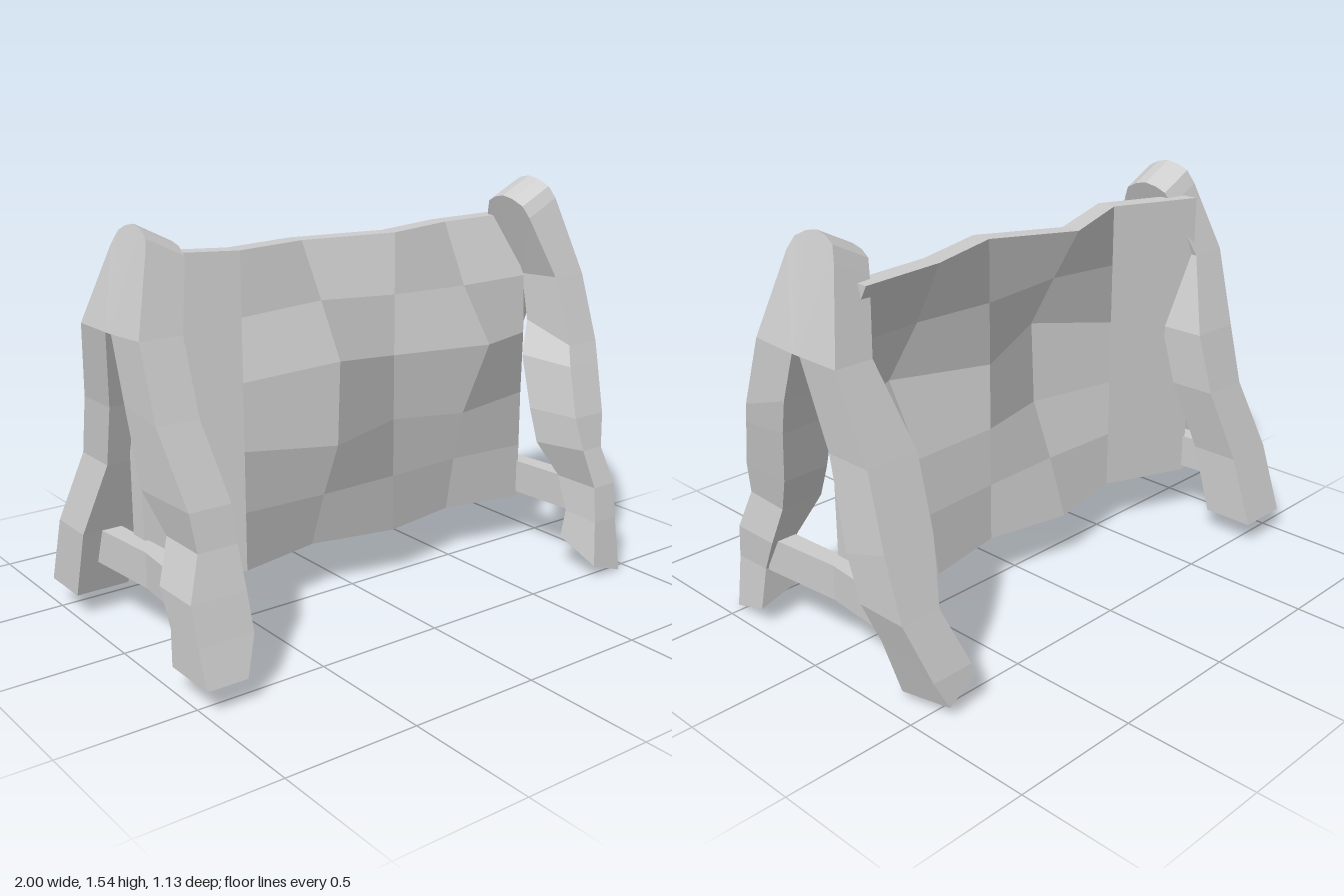
import * as THREE from 'three';

const material = new THREE.MeshStandardMaterial({ color: 0xcccccc, side: THREE.DoubleSide });

// Geometry from four-cornered faces, each shaded flat as one facet
function facets(quads) {
  const pos = [], nor = [];
  const p = new THREE.Vector3(), q = new THREE.Vector3();
  for (const [a, b, c, d] of quads) {
    p.set(c[0] - a[0], c[1] - a[1], c[2] - a[2]);
    q.set(d[0] - b[0], d[1] - b[1], d[2] - b[2]);
    p.cross(q).normalize();
    for (const v of [a, b, c, a, c, d]) {
      pos.push(...v);
      nor.push(p.x, p.y, p.z);
    }
  }
  const g = new THREE.BufferGeometry();
  g.setAttribute('position', new THREE.Float32BufferAttribute(pos, 3));
  g.setAttribute('normal', new THREE.Float32BufferAttribute(nor, 3));
  return g;
}

// Skin a list of four-cornered sections, closing both ends
function loft(sections, flip) {
  const last = sections[sections.length - 1];
  const quads = [sections[0], [...last].reverse()];
  for (let i = 0; i < sections.length - 1; i++) {
    const s = sections[i], t = sections[i + 1];
    for (let j = 0; j < 4; j++) {
      const k = (j + 1) % 4;
      quads.push([s[j], t[j], t[k], s[k]]);
    }
  }
  return facets(flip ? quads.map(q => [...q].reverse()) : quads);
}

function addMesh(parent, geometry, name) {
  const mesh = new THREE.Mesh(geometry, material);
  mesh.name = name;
  parent.add(mesh);
}

// Leg rows, foot to shoulder: [outer z, outer y, inner z, inner y, outside x, inside x,
// then optionally outside x and inside x of the inner edge, and the rise of the inside corners]
const leftLegFront = [
  [0.535, 0.0, 0.345, 0.07, 0.945, 0.80, 0.97, 0.80, 0.05],
  [0.505, 0.22, 0.345, 0.225, 0.94, 0.825],
  [0.48, 0.355, 0.28, 0.355, 0.95, 0.84],
  [0.43, 0.50, 0.23, 0.50, 0.92, 0.82, 0.93, 0.76],
  [0.40, 0.63, 0.18, 0.63, 0.95, 0.80, 0.95, 0.765],
  [0.33, 0.82, 0.12, 0.84, 0.985, 0.83, 0.985, 0.77],
  [0.30, 0.90, 0.08, 0.97, 1.0, 0.85, 1.0, 0.83],
  [0.21, 1.16, 0.02, 1.15, 1.0, 0.85],
];
const leftLegBack = [
  [0.565, 0.04, 0.37, 0.03, 0.885, 0.77, 0.92, 0.80, 0.07],
  [0.55, 0.15, 0.32, 0.22, 0.94, 0.77, 0.96, 0.83],
  [0.475, 0.355, 0.27, 0.355, 1.0, 0.84],
  [0.40, 0.58, 0.21, 0.52, 1.0, 0.79],
  [0.31, 0.84, 0.12, 0.84, 0.98, 0.77],
  [0.20, 1.15, 0.02, 1.15, 1.0, 0.85],
];
const rightLegFront = [
  [0.565, 0.09, 0.345, 0.09, 1.0, 0.845, 1.0, 0.79],
  [0.52, 0.22, 0.345, 0.225, 1.0, 0.79],
  [0.48, 0.355, 0.28, 0.355, 1.0, 0.79],
  [0.43, 0.50, 0.23, 0.50, 0.94, 0.79],
  [0.40, 0.63, 0.18, 0.66, 0.95, 0.79, 1.0, 0.79],
  [0.30, 0.90, 0.09, 0.93, 1.0, 0.84],
  [0.21, 1.16, 0.02, 1.15, 1.0, 0.84],
];
const rightLegBack = [
  [0.565, 0.09, 0.36, 0.09, 1.0, 0.79],
  [0.475, 0.355, 0.28, 0.355, 1.0, 0.79],
  [0.38, 0.63, 0.19, 0.63, 0.935, 0.74],
  [0.31, 0.86, 0.12, 0.86, 0.95, 0.74],
  [0.20, 1.15, 0.02, 1.15, 1.0, 0.84],
];
// Rounded top of a frame: [z, y]
const arc = [[0.125, 1.46], [0.1, 1.505], [0.05, 1.53], [0, 1.54], [-0.05, 1.53], [-0.09, 1.51], [-0.115, 1.46]];

function buildFrame(side, front, back, drop, name) {
  const frame = new THREE.Group();
  frame.name = name;
  const section = (dir, [zo, yo, zi, yi, xo, xi, xo2 = xo, xi2 = xi, rise = 0]) => [
    [side * xo, yo, dir * zo], [side * xi, yo + rise, dir * zo],
    [side * xi2, yi + rise, dir * zi], [side * xo2, yi, dir * zi],
  ];
  const sections = front.map(r => section(1, r));
  // Tilted cap, its underside held at the peak of the opening
  for (const [z, y] of arc) {
    const top = y - drop, xo = 0.89 + (1.54 - y) * 0.35;
    sections.push([
      [side * xo, top, z], [side * (xo - 0.14), top - 0.07, z],
      [side * 0.85, 1.15, z * 0.15], [side * 1.0, 1.15, z * 0.15],
    ]);
  }
  sections.push(...[...back].reverse().map(r => section(-1, r)));
  addMesh(frame, loft(sections, side < 0), 'bentLegs');

  // Brace between the two legs
  const bar = [[0.34, 0.85, 0.93], [0, 0.83, 0.9], [-0.34, 0.85, 0.93]].map(([z, xi, xo]) => [
    [side * xo, 0.22, z], [side * xi, 0.22, z], [side * xi, 0.355, z], [side * xo, 0.355, z],
  ]);
  addMesh(frame, loft(bar, side > 0), 'crossbar');
  return frame;
}

// Warped board: depth at each grid point, rows from the top down
function buildPanel() {
  const xs = [-0.85, -0.51, -0.17, 0.17, 0.5, 0.84];
  const ys = [1.38, 1.145, 0.91, 0.655, 0.425, 0.2];
  const depth = [
    [-0.14, 0, -0.12, 0, -0.1, -0.13],
    [-0.14, 0, 0.0, 0, 0.02, 0.0],
    [-0.14, 0, 0.115, 0, 0.12, 0.01],
    [-0.14, 0, 0.1, 0, 0.03, 0.005],
    [-0.14, 0, 0.01, 0, -0.02, 0.005],
    [-0.14, 0, -0.07, 0, -0.06, 0.005],
  ];
  // Small sideways and upward shifts of the bulging points
  const lift = { '0,2': -0.012, '1,2': 0.02, '2,2': 0.05, '2,4': 0.01, '3,2': -0.015, '3,4': -0.025 };
  const at = (r, c, half) => [
    xs[c] + (r === 2 && c === 4 ? 0.05 : 0), ys[r] + (lift[`${r},${c}`] ?? 0), depth[r][c] + half,
  ];
  const t = 0.04, quads = [];
  for (let i = 0; i < 5; i++) {
    for (let j = 0; j < 5; j++) {
      quads.push([at(i, j, t), at(i + 1, j, t), at(i + 1, j + 1, t), at(i, j + 1, t)]);
      quads.push([at(i, j, -t), at(i, j + 1, -t), at(i + 1, j + 1, -t), at(i + 1, j, -t)]);
    }
    // Rim
    quads.push([at(0, i, t), at(0, i + 1, t), at(0, i + 1, -t), at(0, i, -t)]);
    quads.push([at(5, i, t), at(5, i, -t), at(5, i + 1, -t), at(5, i + 1, t)]);
    quads.push([at(i, 0, t), at(i, 0, -t), at(i + 1, 0, -t), at(i + 1, 0, t)]);
    quads.push([at(i, 5, t), at(i + 1, 5, t), at(i + 1, 5, -t), at(i, 5, -t)]);
  }
  return facets(quads);
}

export function createModel() {
  const model = new THREE.Group();
  model.name = 'barricade';
  addMesh(model, buildPanel(), 'panel');
  model.add(buildFrame(1, leftLegFront, leftLegBack, 0, 'leftFrame'));
  model.add(buildFrame(-1, rightLegFront, rightLegBack, 0.04, 'rightFrame'));
  return model;
}
